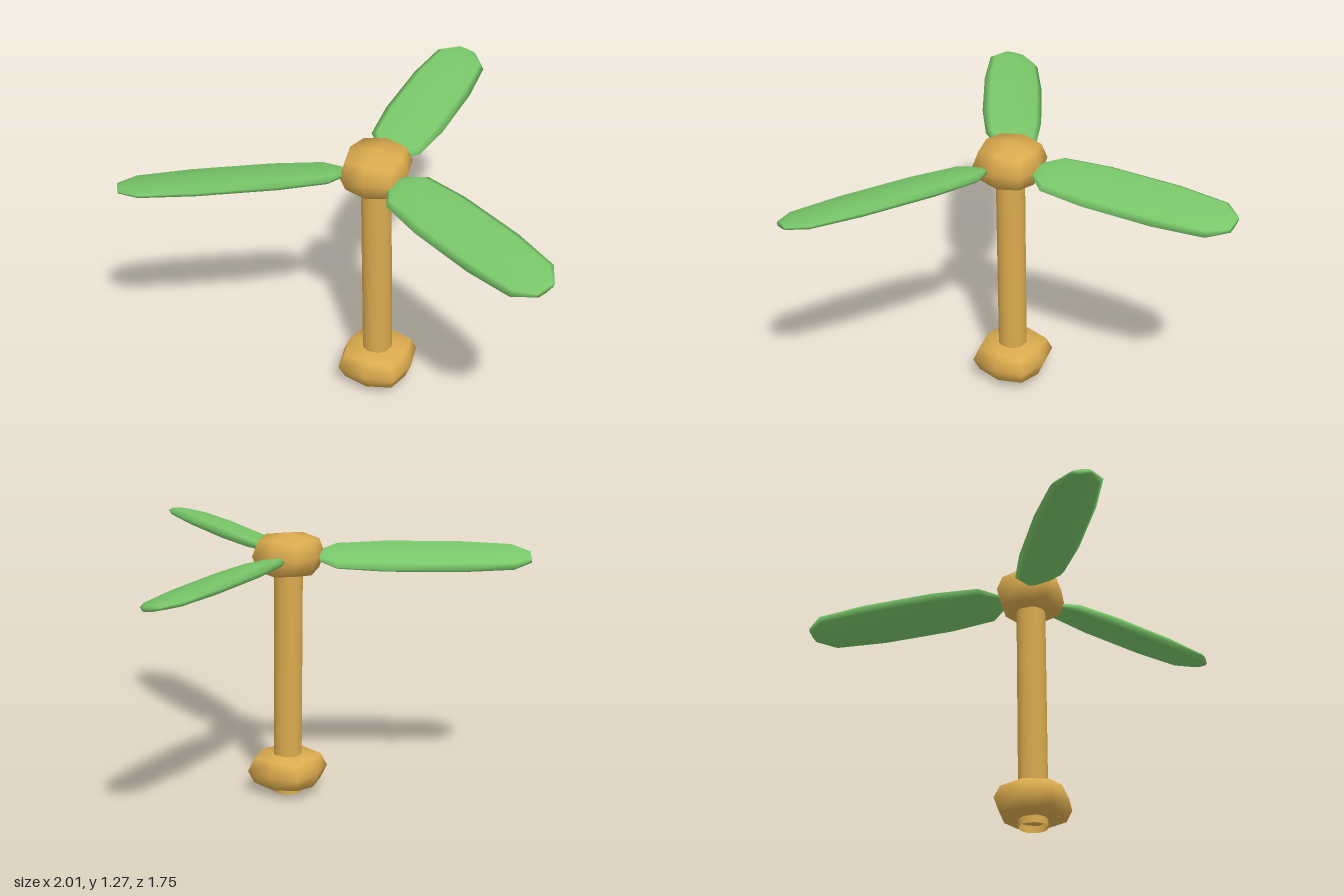
import * as THREE from 'three';
import { mergeVertices } from 'three/addons/utils/BufferGeometryUtils.js';

const AXIS_Z = 0.253;

// Box with two segments per edge, its edges and corners pulled in to a soft lump
function softBlock(rx, ry, rz) {
  let geo = new THREE.BoxGeometry(2, 2, 2, 2, 2, 2);
  geo.deleteAttribute('normal');
  geo.deleteAttribute('uv');
  geo = mergeVertices(geo);
  const p = geo.attributes.position;
  for (let i = 0; i < p.count; i++) {
    const v = new THREE.Vector3().fromBufferAttribute(p, i);
    const outer = Math.round(Math.abs(v.x) + Math.abs(v.y) + Math.abs(v.z));
    v.multiplyScalar([1, 1, 0.82, 0.69][outer]);
    p.setXYZ(i, v.x * rx, v.y * ry, v.z * rz);
  }
  geo.computeVertexNormals();
  return geo;
}

// Blade along +x, lofted through flat eight-sided sections
function bladeGeometry() {
  // distance from axis, half width, half thickness
  const stations = [
    [0.145, 0.05, 0.013], [0.225, 0.12, 0.024], [0.45, 0.143, 0.03],
    [0.8, 0.143, 0.03], [1.045, 0.12, 0.024], [1.13, 0.05, 0.013],
  ];
  const section = [[1, 0], [0.8, 0.75], [0, 1], [-0.8, 0.75], [-1, 0], [-0.8, -0.75], [0, -1], [0.8, -0.75]];
  const n = section.length, last = stations.length - 1;
  const pos = [], index = [];
  for (const [x, w, t] of stations) for (const [z, y] of section) pos.push(x, y * t, z * w);
  const start = pos.length / 3, end = start + 1;
  pos.push(stations[0][0], 0, 0, stations[last][0], 0, 0);
  for (let j = 0; j < n; j++) {
    const k = (j + 1) % n;
    for (let i = 0; i < last; i++) {
      const a = i * n, b = a + n;
      index.push(a + j, b + j, b + k, a + j, b + k, a + k);
    }
    index.push(start, j, k, end, last * n + k, last * n + j);
  }
  const geo = new THREE.BufferGeometry();
  geo.setAttribute('position', new THREE.Float32BufferAttribute(pos, 3));
  geo.setIndex(index);
  geo.computeVertexNormals();
  return geo;
}

export function createModel() {
  const group = new THREE.Group();
  const wood = new THREE.MeshStandardMaterial({ color: 0xdbab4e, side: THREE.DoubleSide });
  wood.name = 'golden wood';
  const leaf = new THREE.MeshStandardMaterial({ color: 0x79c769 });
  leaf.name = 'leaf green';

  const add = (name, geo, mat, y) => {
    const mesh = new THREE.Mesh(geo, mat);
    mesh.name = name;
    mesh.position.set(0, y, AXIS_Z);
    group.add(mesh);
    return mesh;
  };

  // Hollow shaft with a knob at the foot and a hub on top
  add('shaft', new THREE.CylinderGeometry(0.068, 0.068, 1.14, 16, 1, true), wood, 0.57);
  add('footKnob', softBlock(0.17, 0.088, 0.17), wood, 0.114);
  add('hub', softBlock(0.15, 0.103, 0.153), wood, 1.172);

  // Three pitched blades
  const blade = bladeGeometry();
  for (let i = 0; i < 3; i++) {
    const mesh = add('blade' + (i + 1), blade, leaf, 1.168);
    mesh.rotation.set(0.24, -(Math.PI / 6 + i * Math.PI * 2 / 3), 0, 'YXZ');
  }
  return group;
}
